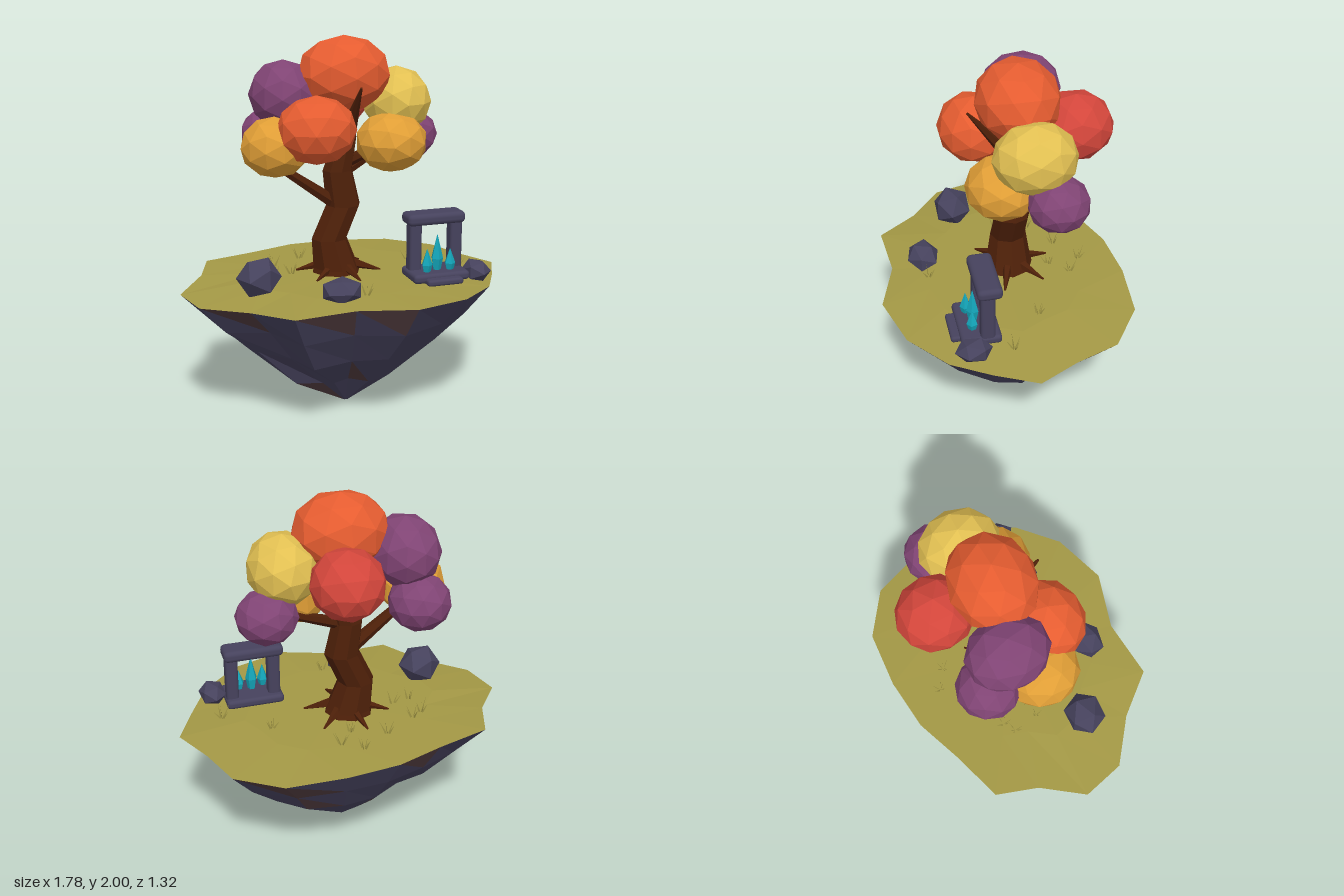
import * as THREE from 'three';
import { RoundedBoxGeometry } from 'three/addons/geometries/RoundedBoxGeometry.js';

const mat = (name, color, side = THREE.FrontSide) => {
  const m = new THREE.MeshStandardMaterial({ color, side });
  m.name = name;
  return m;
};
const V = (x, y, z) => new THREE.Vector3(x, y, z);

let seed = 7;
const rand = () => {
  seed = (seed * 16807) % 2147483647;
  return seed / 2147483647;
};
const jitter = (a) => (rand() * 2 - 1) * a;

// Faceted normals for low-poly parts
function facet(geo) {
  const g = geo.index ? geo.toNonIndexed() : geo;
  g.computeVertexNormals();
  return g;
}

const fromTriangles = (tris) => facet(new THREE.BufferGeometry().setFromPoints(tris.flat()));

// Triangles joining closed rings, listed from top to bottom
function loft(rings) {
  const tris = [];
  for (let r = 0; r < rings.length - 1; r++) {
    const up = rings[r], low = rings[r + 1], n = up.length;
    for (let i = 0; i < n; i++) {
      const j = (i + 1) % n;
      tris.push([up[i], up[j], low[i]], [up[j], low[j], low[i]]);
    }
  }
  return tris;
}

const fan = (centre, ring) => ring.map((p, i) => [centre, ring[(i + 1) % ring.length], p]);

// Tapered limb between two points
function limb(p, q, r0, r1, sides = 6) {
  const d = q.clone().sub(p);
  const g = new THREE.CylinderGeometry(r1, r0, d.length(), sides);
  g.applyQuaternion(new THREE.Quaternion().setFromUnitVectors(V(0, 1, 0), d.normalize()));
  const c = p.clone().add(q).multiplyScalar(0.5);
  return facet(g.translate(c.x, c.y, c.z));
}

export function createModel() {
  const model = new THREE.Group();
  const M = {
    grass: mat('olive grass', 0xa39845, THREE.DoubleSide),
    rock: mat('slate rock', 0x46425d),
    earth: mat('brown rock', 0x503b3e),
    bark: mat('bark', 0x4e2009),
    crystal: mat('teal crystal', 0x14a6ba),
    orange: mat('orange leaves', 0xe55c30),
    amber: mat('amber leaves', 0xe09e36),
    yellow: mat('yellow leaves', 0xe2c052),
    red: mat('red leaves', 0xd3463b),
    purple: mat('purple leaves', 0x804474),
  };
  const add = (name, geo, material, parent = model) => {
    const mesh = new THREE.Mesh(geo, material);
    mesh.name = name;
    parent.add(mesh);
  };
  const group = (name) => {
    const g = new THREE.Group();
    g.name = name;
    model.add(g);
    return g;
  };

  // Island rim
  const rim = [
    [0.885, 0.70, -0.03], [0.78, 0.7, 0.19], [0.67, 0.71, 0.39], [0.46, 0.72, 0.57], [0.165, 0.725, 0.657],
    [-0.13, 0.72, 0.565], [-0.45, 0.715, 0.587], [-0.62, 0.70, 0.375], [-0.84, 0.69, 0.2],
    [-0.895, 0.695, -0.03], [-0.74, 0.72, -0.245], [-0.665, 0.73, -0.465], [-0.38, 0.73, -0.55],
    [-0.13, 0.73, -0.64], [0.155, 0.725, -0.665], [0.465, 0.71, -0.64], [0.695, 0.70, -0.475],
    [0.78, 0.7, -0.24],
  ].map((p) => V(...p));

  // Grass top
  const inner = rim.map((p) => V(p.x * 0.6, 0.732, p.z * 0.6));
  add('grassTop', fromTriangles([...fan(V(0, 0.735, 0), inner), ...loft([inner, rim])]), M.grass);

  // Rocky underside, more creased towards the tip, with some faces of brown earth
  const layers = [[0.82, 0.55, 0.04], [0.61, 0.375, 0.08], [0.3, 0.17, 0.2]];
  const rings = [rim, ...layers.map(([f, y, wobble]) => rim.map((p) => {
    const k = f * (1 + jitter(wobble));
    return V(p.x * k, y + jitter(0.02), p.z * k);
  })), rim.map((p) => V(p.x * 0.02, 0, p.z * 0.02))];
  const stone = [], brown = [];
  for (const t of loft(rings)) (rand() < 0.17 ? brown : stone).push(t);
  add('islandRock', fromTriangles(stone), M.rock);
  add('islandEarth', fromTriangles(brown), M.earth);

  // Crooked trunk: x, y, z, radius from top to bottom
  const tree = group('tree');
  const trunk = [
    [0.035, 1.6, -0.08, 0.045], [0.025, 1.46, -0.08, 0.062], [-0.02, 1.29, -0.08, 0.082],
    [0.01, 1.1, -0.075, 0.095], [-0.07, 0.92, -0.07, 0.098], [-0.035, 0.76, -0.065, 0.125],
    [-0.03, 0.71, -0.065, 0.14],
  ].map(([x, y, z, r]) => Array.from({ length: 8 }, (_, i) => {
    const a = (i / 8) * Math.PI * 2;
    return V(x + Math.cos(a) * r, y, z + Math.sin(a) * r);
  }));
  add('trunk', fromTriangles([...loft(trunk), ...fan(V(0.035, 1.6, -0.08), trunk[0])]), M.bark, tree);

  // Branches: start, end, radii
  [
    [[-0.02, 1.1, -0.07], [-0.33, 1.32, -0.04], 0.04, 0.025],
    [[0, 1.27, -0.08], [0.36, 1.43, -0.18], 0.035, 0.018],
    [[0.02, 1.33, -0.07], [0.22, 1.43, 0.0], 0.035, 0.02],
    [[0.03, 1.46, -0.08], [0.06, 1.62, -0.3], 0.045, 0.025],
    [[0.02, 1.48, -0.08], [-0.25, 1.68, -0.17], 0.035, 0.02],
    [[0.03, 1.46, -0.08], [0.032, 1.755, 0.16], 0.05, 0.006],
  ].forEach(([p, q, a, b]) => add('branch', limb(V(...p), V(...q), a, b), M.bark, tree));

  // Roots
  for (let i = 0; i < 6; i++) {
    const a = (i / 6) * Math.PI * 2 + 0.3;
    const at = (r, y) => V(-0.02 + Math.cos(a) * r, y, -0.065 + Math.sin(a) * r);
    add('root', limb(at(0.08, 0.775), at(0.23, 0.735), 0.028, 0.005, 5), M.bark, tree);
  }

  // Leaf clumps: colour, centre, half sizes
  [
    ['orange', [0.022, 1.795, -0.095], [0.248, 0.2, 0.215]],
    ['orange', [-0.185, 1.54, 0.09], [0.205, 0.176, 0.188]],
    ['amber', [-0.37, 1.44, -0.04], [0.18, 0.158, 0.19]],
    ['amber', [0.247, 1.445, 0.025], [0.188, 0.16, 0.19]],
    ['yellow', [0.325, 1.642, -0.115], [0.18, 0.18, 0.21]],
    ['purple', [0.433, 1.437, -0.21], [0.158, 0.138, 0.155]],
    ['red', [0.07, 1.642, -0.38], [0.185, 0.175, 0.195]],
    ['purple', [-0.285, 1.69, -0.18], [0.18, 0.18, 0.21]],
    ['purple', [-0.325, 1.46, -0.31], [0.16, 0.145, 0.16]],
  ].forEach(([colour, c, s], i) => {
    const g = new THREE.IcosahedronGeometry(1.02, 1).rotateY(i * 1.3).scale(...s).translate(...c);
    add('leafClump', facet(g), M[colour], tree);
  });

  // Boulders: centre, half sizes
  [
    [[-0.52, 0.81, 0.16], [0.115, 0.108, 0.108]],
    [[-0.148, 0.772, 0.39], [0.112, 0.07, 0.088]],
    [[0.65, 0.765, 0.26], [0.075, 0.06, 0.095]],
  ].forEach(([c, s], i) => {
    const g = new THREE.IcosahedronGeometry(1.03, 0).rotateY(i * 0.9 + 0.4).scale(...s).translate(...c);
    add('boulder', facet(g), M.rock);
  });

  // Stone gate with rounded blocks
  const gate = group('stoneGate');
  const block = (name, size, pos, round = 0.4) =>
    add(name, new RoundedBoxGeometry(...size, 2, Math.min(...size) * round).translate(...pos), M.rock, gate);
  block('gateBase', [0.315, 0.05, 0.21], [0.438, 0.755, 0.205]);
  block('gateStep', [0.2, 0.035, 0.1], [0.44, 0.743, 0.305]);
  block('gateLintel', [0.325, 0.064, 0.13], [0.44, 1.052, 0.162]);
  for (const x of [0.326, 0.557]) block('gatePost', [0.068, 0.29, 0.075], [x, 0.9, 0.172], 0.27);

  // Crystals: x, z, tip height, radius
  const crystals = group('crystals');
  [[0.37, 0.25, 0.905, 0.03], [0.437, 0.225, 0.975, 0.033], [0.505, 0.24, 0.895, 0.03]].forEach(([x, z, top, r]) => {
    const h = top - 0.77;
    const profile = [[0.6, 0], [1, 0.35], [0, 1]].map(([a, b]) => new THREE.Vector2(a * r, b * h));
    add('crystal', facet(new THREE.LatheGeometry(profile, 5).translate(x, 0.77, z)), M.crystal, crystals);
  });

  // Grass tufts of flat upright blades
  const tufts = group('grassTufts');
  [
    [-0.4, -0.2], [-0.34, -0.24], [-0.28, -0.08], [-0.38, -0.06], [-0.01, 0.38], [0.41, -0.13], [0.64, 0.05],
    [0.02, -0.28], [-0.16, -0.35], [0.0, -0.45], [0.1, -0.38],
  ].forEach(([x, z]) => {
    const blades = [];
    for (let i = 0; i < 6; i++) {
      const a = i * 1.05 + rand(), lean = 0.02 + rand() * 0.03;
      const at = (r, y) => V(x + Math.cos(a) * r, y, z + Math.sin(a) * r);
      blades.push([at(0, 0.725), at(0.014, 0.725), at(lean, 0.775 + rand() * 0.03)]);
    }
    add('grassTuft', fromTriangles(blades), M.grass, tufts);
  });

  return model;
}
